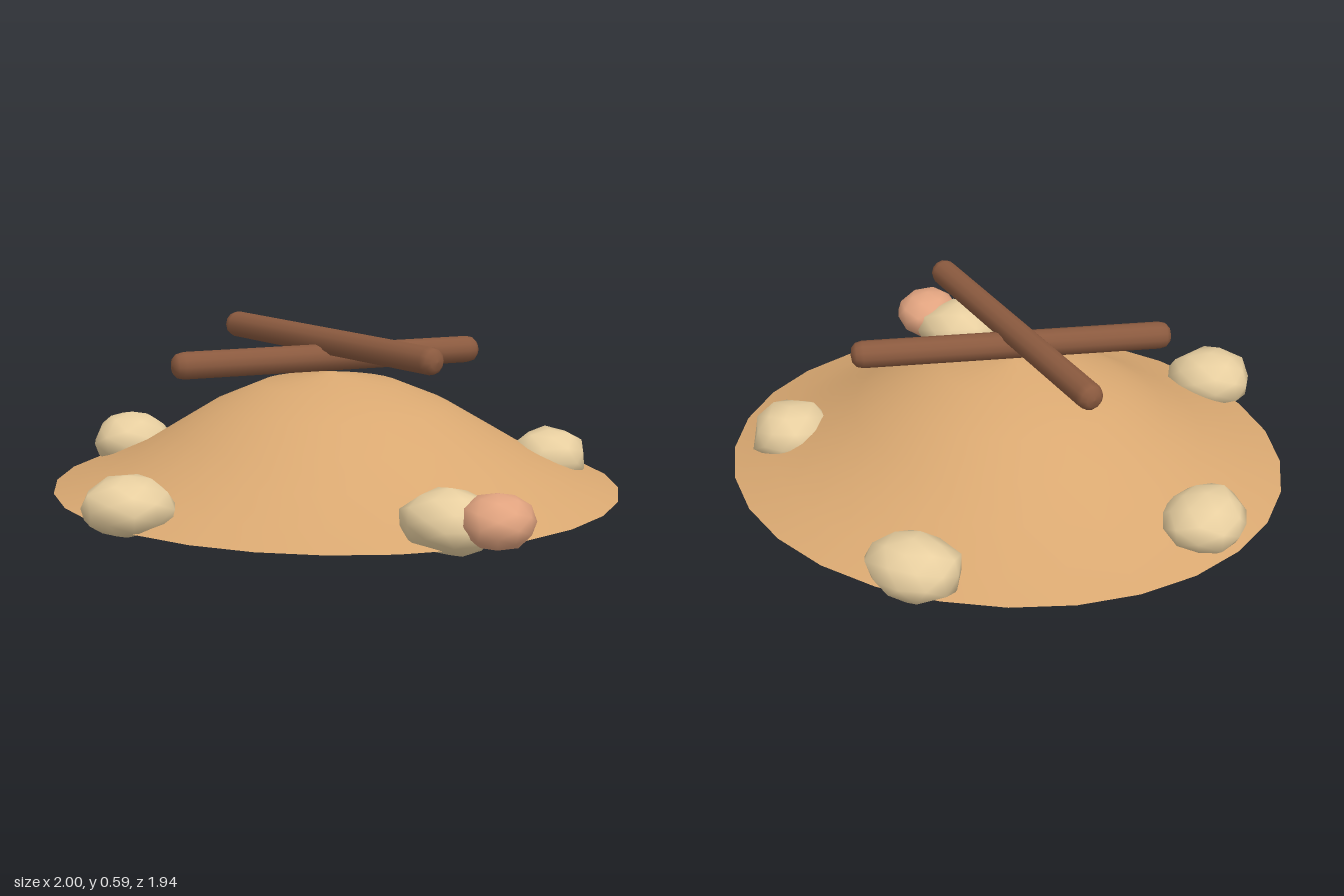
import * as THREE from 'three';
import { mergeVertices } from 'three/addons/utils/BufferGeometryUtils.js';

const mat = (color, side = THREE.FrontSide) => new THREE.MeshStandardMaterial({ color, side });
const v2 = ([x, y]) => new THREE.Vector2(x, y);

function addMesh(group, name, geometry, material) {
  const mesh = new THREE.Mesh(geometry, material);
  mesh.name = name;
  group.add(mesh);
  return mesh;
}

// Hollow low mound, oval in plan, its peak slightly off centre
function moundGeometry() {
  const profile = [[1, 0.05], [0.86, 0.098], [0.7, 0.17], [0.56, 0.255], [0.415, 0.342], [0.245, 0.413], [0, 0.453]];
  const geo = new THREE.LatheGeometry(profile.map(v2), 28, Math.PI / 2);
  const p = geo.attributes.position;
  for (let i = 0; i < p.count; i++) {
    const r = Math.hypot(p.getX(i), p.getZ(i));
    p.setXYZ(i, p.getX(i) - 0.025 * (1 - r), p.getY(i), p.getZ(i) * 0.932 + 0.034);
  }
  return geo;
}

// Round stick with softened ends, lying along x
function stickGeometry(half, r) {
  const end = [[0, half], [0.55 * r, half - 0.004], [0.88 * r, half - 0.018], [r, half - 0.042]];
  const profile = [...end.map(([x, y]) => [x, -y]), ...end.reverse()];
  return new THREE.LatheGeometry(profile.map(v2), 12).rotateZ(Math.PI / 2);
}

// Lumpy pebble fitted to the given half sizes
function pebbleGeometry(seed, hx, hy, hz, lump) {
  let geo = new THREE.IcosahedronGeometry(1, 1);
  geo.deleteAttribute('normal');
  geo.deleteAttribute('uv');
  geo = mergeVertices(geo, 1e-4);
  geo.rotateY(seed * 1.7);
  const p = geo.attributes.position;
  for (let i = 0; i < p.count; i++) {
    const n = Math.sin((i + 1) * 12.9898 + seed * 78.233) * 43758.5453;
    const k = 1 + lump * (n - Math.floor(n) - 0.5);
    p.setXYZ(i, p.getX(i) * k, p.getY(i) * k, p.getZ(i) * k);
  }
  geo.center();
  geo.computeBoundingBox();
  const m = geo.boundingBox.max;
  geo.scale(hx / m.x, hy / m.y, hz / m.z);
  geo.computeVertexNormals();
  return geo;
}

export function createModel() {
  const model = new THREE.Group();
  model.name = 'stickMound';

  addMesh(model, 'mound', moundGeometry(), mat(0xd9a871, THREE.DoubleSide));

  // Two crossed sticks above the peak
  const wood = mat(0x8b5a3f);
  const stick = stickGeometry(0.565, 0.048);
  [['lowerStick', 0.503, 0.61], ['upperStick', 0.559, -0.61]].forEach(([name, y, turn]) => {
    const mesh = addMesh(model, name, stick, wood);
    mesh.position.set(-0.025, y, 0.033);
    mesh.rotation.y = turn;
  });

  // Ring of pebbles round the rim: name, centre, half sizes
  const sand = mat(0xe8cfa0);
  const pink = mat(0xe2a480);
  [
    ['backPebble', [-0.097, 0.12, -0.833], [0.163, 0.108, 0.138]],
    ['rightPebble', [-0.835, 0.123, -0.155], [0.147, 0.106, 0.153]],
    ['leftPebble', [0.71, 0.118, -0.283], [0.132, 0.104, 0.143]],
    ['frontRightPebble', [-0.48, 0.118, 0.79], [0.16, 0.103, 0.142]],
    ['frontLeftPebble', [0.555, 0.122, 0.71], [0.157, 0.108, 0.145]],
    ['pinkPebble', [0.715, 0.14, 0.748], [0.118, 0.091, 0.127]],
  ].forEach(([name, centre, half], i) => {
    const isPink = name === 'pinkPebble';
    const geo = pebbleGeometry(i + 1, ...half, isPink ? 0.06 : 0.16);
    addMesh(model, name, geo, isPink ? pink : sand).position.set(...centre);
  });

  return model;
}
